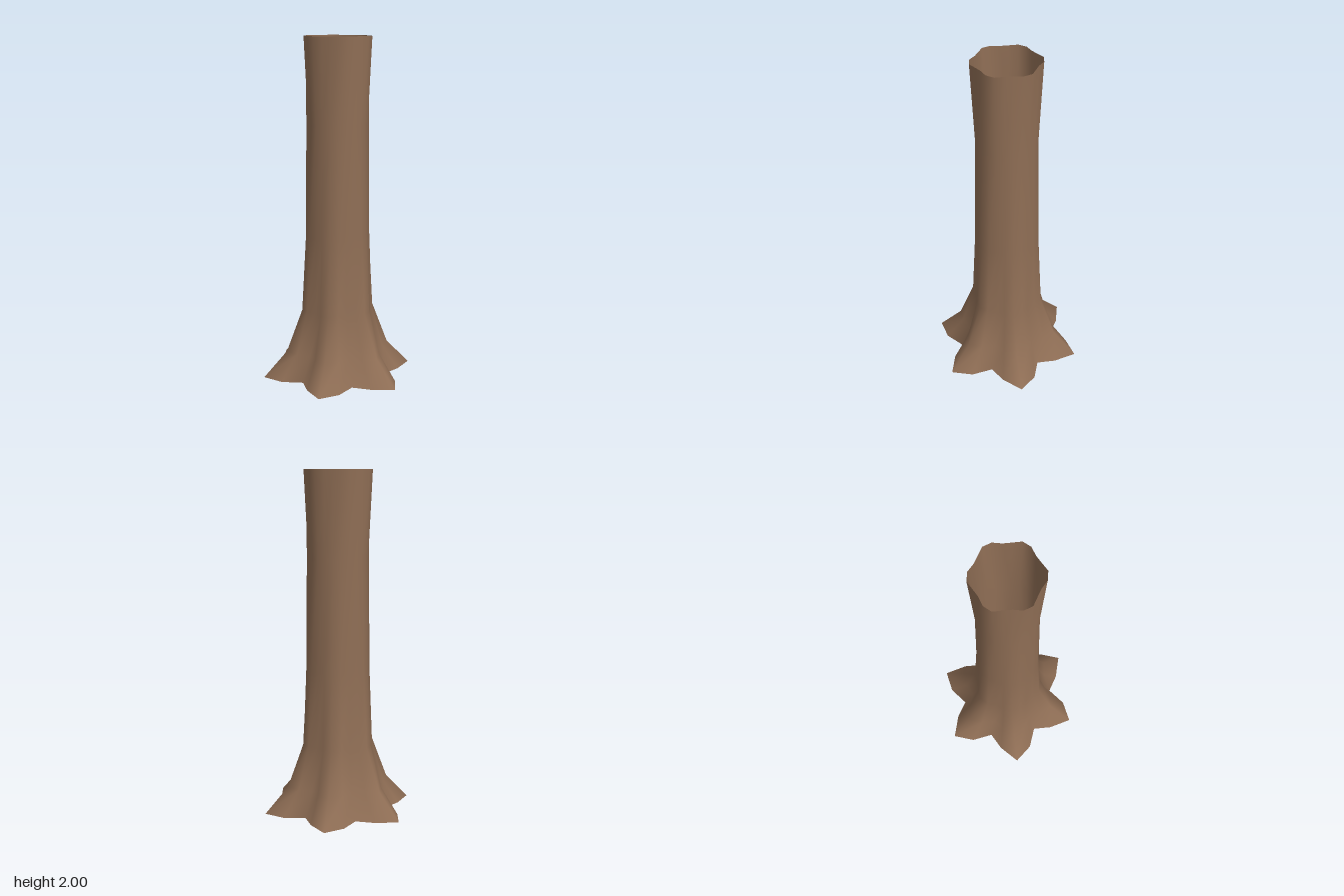
import * as THREE from 'three';

const SIDES = 24;

// Height of each ring, then four radii that repeat around the six root lobes
const RINGS = [
  [0.0, 0.367, 0.456, 0.386, 0.294],
  [0.15, 0.272, 0.315, 0.282, 0.235],
  [0.4, 0.205, 0.219, 0.212, 0.193],
  [0.85, 0.187, 0.193, 0.189, 0.18],
  [1.5, 0.18, 0.177, 0.175, 0.176],
  [2.0, 0.181, 0.177, 0.196, 0.2],
];

// Hollow tube skinned over the lobed rings, with a shared seam for smooth normals
function trunkGeometry() {
  const positions = [];
  const index = [];
  RINGS.forEach(([y, ...radii], ring) => {
    for (let j = 0; j < SIDES; j++) {
      const angle = (j / SIDES) * Math.PI * 2;
      const r = radii[j % 4];
      positions.push(r * Math.cos(angle), y, -r * Math.sin(angle));
      if (ring === RINGS.length - 1) continue;
      const a = ring * SIDES + j;
      const b = ring * SIDES + ((j + 1) % SIDES);
      index.push(a, b, b + SIDES, a, b + SIDES, a + SIDES);
    }
  });
  const geometry = new THREE.BufferGeometry();
  geometry.setAttribute('position', new THREE.Float32BufferAttribute(positions, 3));
  geometry.setIndex(index);
  geometry.computeVertexNormals();
  return geometry;
}

export function createModel() {
  const group = new THREE.Group();
  group.name = 'treeTrunk';

  const bark = new THREE.MeshStandardMaterial({ color: 0x8f6e55, side: THREE.DoubleSide });
  bark.name = 'bark brown';

  // Open trunk with flared roots
  const trunk = new THREE.Mesh(trunkGeometry(), bark);
  trunk.name = 'trunk';
  group.add(trunk);
  return group;
}
